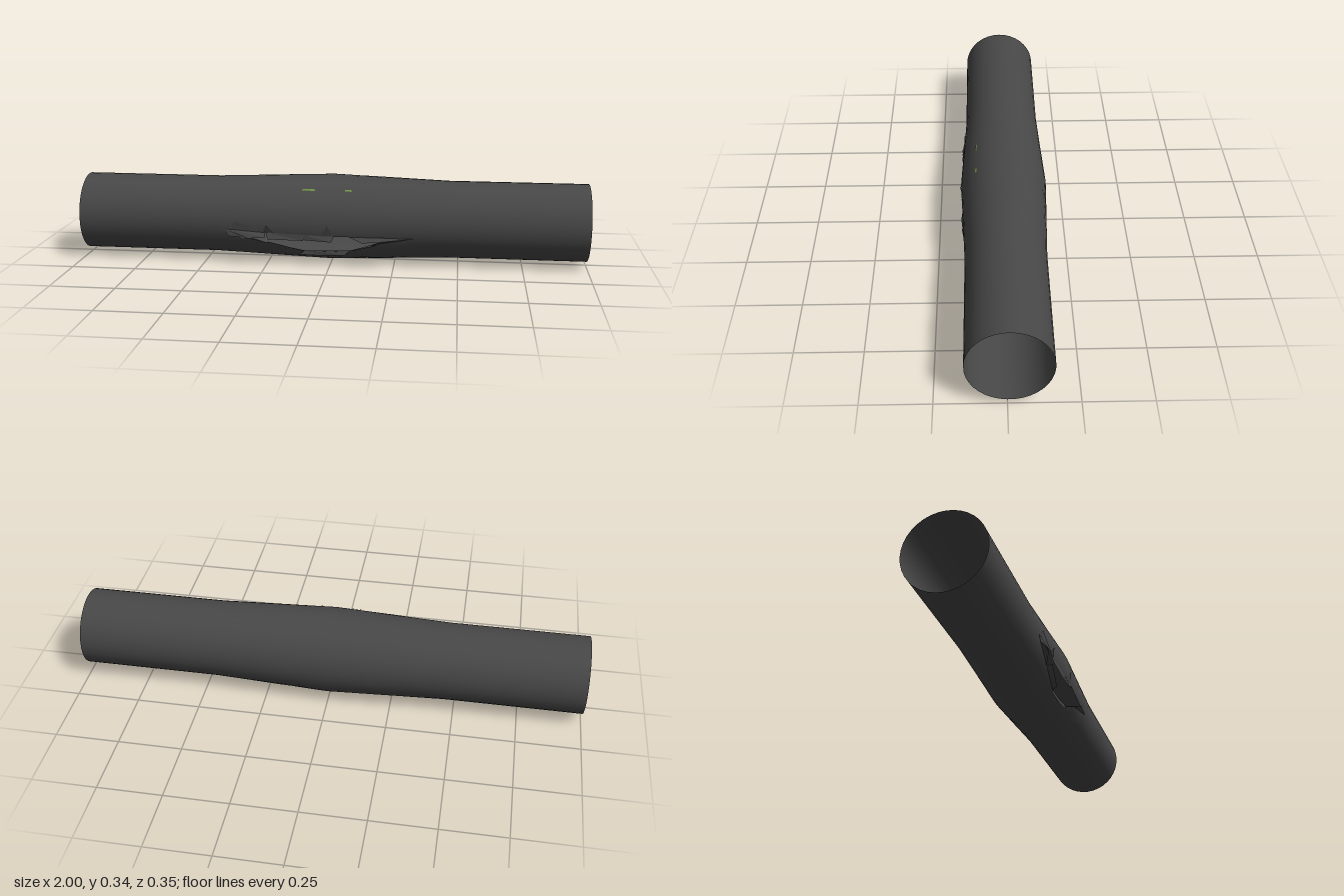
import * as THREE from 'three';

const CY = 0.172, CZ = -0.007, SIDES = 36;

// Tear outline: x, height of upper edge, height of lower edge
const TEAR = [
  [-0.41, 0.145, 0.145], [-0.34, 0.148, 0.118], [-0.25, 0.138, 0.092], [-0.1, 0.132, 0.06],
  [0, 0.13, 0.06], [0.08, 0.129, 0.066], [0.16, 0.128, 0.095], [0.33, 0.127, 0.127],
];
// Pipe profile: x, radius
const PROFILE = [[-1, 0.152], [-0.46, 0.152], [-0.23, 0.161], [0, 0.17], [0.23, 0.161], [0.46, 0.152], [1, 0.152]];

// Linear lookup of column k in a table sorted by x
function sample(table, x, k) {
  if (x <= table[0][0]) return table[0][k];
  for (let i = 1; i < table.length; i++) {
    const a = table[i - 1], b = table[i];
    if (x <= b[0]) return THREE.MathUtils.lerp(a[k], b[k], (x - a[0]) / (b[0] - a[0]));
  }
  return table[table.length - 1][k];
}

const radius = (x) => sample(PROFILE, x, 1);
const angleAt = (x, y) => Math.asin((y - CY) / radius(x));

// Point on the front of the pipe at height y, lifted outwards by d
function onPipe([x, y, d]) {
  const a = angleAt(x, y), r = radius(x) + d;
  return [x, CY + r * Math.sin(a), CZ + r * Math.cos(a)];
}

// One sheet wrapped from the tear's upper edge round to its lower edge
function pipeGeometry() {
  const xs = [...new Set([...PROFILE, ...TEAR].map((p) => p[0]))].sort((a, b) => a - b);
  const pos = [], nor = [], idx = [], row = SIDES + 1;
  xs.forEach((x, i) => {
    const start = angleAt(x, sample(TEAR, x, 1));
    const end = angleAt(x, sample(TEAR, x, 2)) + Math.PI * 2;
    for (let j = 0; j <= SIDES; j++) {
      const a = THREE.MathUtils.lerp(start, end, j / SIDES), r = radius(x);
      pos.push(x, CY + r * Math.sin(a), CZ + r * Math.cos(a));
      nor.push(0, Math.sin(a), Math.cos(a));
      if (i && j) {
        const d = i * row + j, c = d - 1, b = d - row, e = b - 1;
        idx.push(e, c, d, e, d, b);
      }
    }
  });
  const g = new THREE.BufferGeometry();
  g.setAttribute('position', new THREE.Float32BufferAttribute(pos, 3));
  g.setAttribute('normal', new THREE.Float32BufferAttribute(nor, 3));
  g.setIndex(idx);
  return g;
}

// Faceted fan through points given as x, height, lift
function shardGeometry(points) {
  const pos = [];
  for (let i = 1; i < points.length - 1; i++) {
    pos.push(...onPipe(points[0]), ...onPipe(points[i]), ...onPipe(points[i + 1]));
  }
  const g = new THREE.BufferGeometry();
  g.setAttribute('position', new THREE.Float32BufferAttribute(pos, 3));
  g.computeVertexNormals();
  return g;
}

export function createModel() {
  const model = new THREE.Group();
  model.name = 'burstPipe';
  const metal = new THREE.MeshStandardMaterial({ color: 0x484848, side: THREE.DoubleSide });
  metal.name = 'darkMetal';
  const green = new THREE.MeshStandardMaterial({ color: 0x6f9440, side: THREE.DoubleSide });
  green.name = 'greenMark';

  const add = (name, geometry, material, parent = model) => {
    const mesh = new THREE.Mesh(geometry, material);
    mesh.name = name;
    parent.add(mesh);
  };

  add('pipe', pipeGeometry(), metal);

  // Torn metal bent away from the upper edge
  const upper = new THREE.Group();
  upper.name = 'upperLip';
  model.add(upper);
  [
    [[-0.41, 0.145, 0], [-0.34, 0.118, 0.021], [-0.25, 0.125, 0.016], [-0.25, 0.138, 0]],
    [[-0.25, 0.138, 0], [-0.24, 0.116, 0.014], [-0.1, 0.112, 0.008], [-0.1, 0.132, 0]],
    [[-0.1, 0.132, 0], [-0.1, 0.114, 0.006], [0.01, 0.112, 0.012], [0.02, 0.13, 0]],
    [[0.08, 0.129, 0], [0.13, 0.113, 0.016], [0.22, 0.118, 0.01], [0.33, 0.127, 0.002]],
    // Upright spikes
    [[-0.26, 0.138, 0], [-0.215, 0.136, 0], [-0.245, 0.168, 0.008]],
    [[-0.03, 0.13, 0], [0.015, 0.13, 0], [-0.006, 0.174, 0.006]],
    [[-0.4, 0.145, 0.001], [-0.25, 0.138, 0.004], [-0.37, 0.178, 0.003]],
  ].forEach((p) => add('upperShard', shardGeometry(p), metal, upper));

  // Torn metal curled out from the lower edge
  const lower = new THREE.Group();
  lower.name = 'lowerLip';
  model.add(lower);
  [
    [[-0.41, 0.145, 0], [-0.34, 0.118, 0], [-0.25, 0.092, 0], [-0.33, 0.125, 0.021], [-0.4, 0.122, 0.012]],
    [[-0.25, 0.092, 0], [-0.1, 0.06, 0], [-0.11, 0.073, 0.012], [-0.24, 0.107, 0.014]],
    [[-0.1, 0.06, 0], [0.08, 0.066, 0], [0.06, 0.056, 0.014], [-0.02, 0.05, 0.012], [-0.12, 0.053, 0.014]],
    [[0.08, 0.066, 0], [0.16, 0.095, 0], [0.19, 0.107, 0.016], [0.1, 0.08, 0.012]],
    [[0.16, 0.095, 0], [0.33, 0.127, 0], [0.2, 0.118, 0.014]],
  ].forEach((p) => add('lowerShard', shardGeometry(p), metal, lower));

  // Tiny painted dashes on the upper front
  for (const [x, w] of [[-0.085, 0.05], [0.07, 0.025]]) {
    const a = x - w / 2, b = x + w / 2;
    add('greenDash', shardGeometry([[a, 0.297, 0.002], [b, 0.297, 0.002], [b, 0.302, 0.002], [a, 0.302, 0.002]]), green);
  }
  return model;
}
